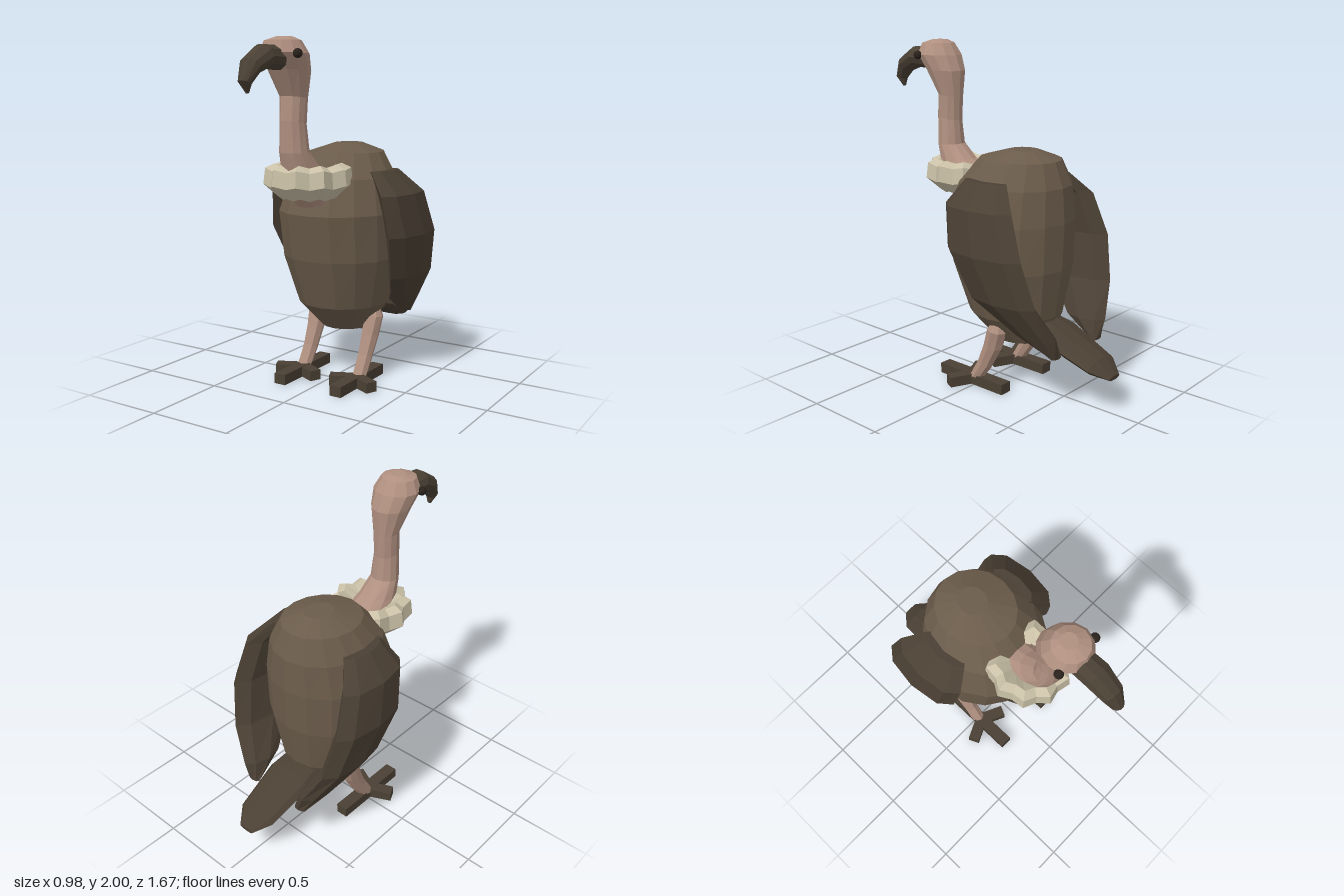
import * as THREE from 'three';

const mat = (name, color) => {
  const m = new THREE.MeshStandardMaterial({ color, flatShading: true });
  m.name = name;
  return m;
};

// Skin of elliptical rings. Each section: [halfWidth, frontZ, frontY, backZ, backY, centreX]
function loft(sections, n) {
  const pos = [], idx = [], last = (sections.length - 1) * n;
  for (const [hx, zf, yf, zb, yb, cx = 0] of sections) {
    for (let j = 0; j < n; j++) {
      const a = (j / n) * Math.PI * 2, s = Math.sin(a) / 2;
      pos.push(cx + hx * Math.cos(a), (yf + yb) / 2 + (yf - yb) * s, (zf + zb) / 2 + (zf - zb) * s);
    }
  }
  for (let i = 0; i < sections.length - 1; i++) {
    for (let j = 0; j < n; j++) {
      const k = (j + 1) % n, a = i * n + j, b = i * n + k;
      idx.push(a, a + n, b, b, a + n, b + n);
    }
  }
  // end caps
  for (let j = 1; j < n - 1; j++) idx.push(0, j, j + 1, last, last + j + 1, last + j);
  const g = new THREE.BufferGeometry();
  g.setAttribute('position', new THREE.Float32BufferAttribute(pos, 3));
  g.setIndex(idx);
  g.computeVertexNormals();
  return g;
}

export function createModel() {
  const group = new THREE.Group();
  group.name = 'vulture';
  const body = mat('brown plumage', 0x6b5c4b);
  const dark = mat('dark feathers', 0x4b4034);
  const horn = mat('horn', 0x4a4034);
  const skin = mat('bare skin', 0xb09080);
  const down = mat('cream down', 0xc9c0a6);
  const black = mat('eye black', 0x2a221c);

  const add = (name, geometry, material, parent = group) => {
    const m = new THREE.Mesh(geometry, material);
    m.name = name;
    parent.add(m);
    return m;
  };

  // Horizontal ring: y, half width, front z, back z, centre x
  const ring = (y, hx, zf, zb, cx = 0) => [hx, zf, y, zb, y, cx];

  add('body', loft([
    ring(0.30, 0.15, -0.02, -0.34),
    ring(0.46, 0.27, 0.14, -0.42),
    ring(0.75, 0.35, 0.24, -0.47),
    ring(1.02, 0.36, 0.285, -0.48),
    ring(1.22, 0.31, 0.21, -0.465),
    ring(1.36, 0.22, 0.08, -0.41),
    ring(1.41, 0.08, -0.10, -0.28),
  ], 16), body);

  add('tail', loft([
    [0.13, -0.28, 0.48, -0.28, 0.37],
    [0.155, -0.47, 0.43, -0.47, 0.315],
    [0.125, -0.75, 0.305, -0.74, 0.225],
    [0.05, -0.838, 0.23, -0.838, 0.205],
  ], 10), dark);

  // Neck and head as one bent tube
  add('neckAndHead', loft([
    [0.11, 0.29, 1.07, 0.10, 1.13],
    [0.13, 0.36, 1.14, 0.10, 1.25],
    [0.105, 0.43, 1.27, 0.21, 1.31],
    [0.085, 0.458, 1.385, 0.30, 1.39],
    [0.072, 0.465, 1.56, 0.313, 1.53],
    [0.077, 0.455, 1.69, 0.307, 1.67],
    [0.115, 0.54, 1.83, 0.30, 1.82],
    [0.135, 0.60, 1.915, 0.335, 1.91],
    [0.10, 0.58, 1.978, 0.38, 1.98],
    [0.045, 0.51, 2.0, 0.42, 2.0],
  ], 12), skin);

  // Hooked beak, lower edge first
  add('beak', loft([
    [0.075, 0.50, 1.82, 0.50, 1.955],
    [0.078, 0.64, 1.83, 0.67, 1.955],
    [0.065, 0.725, 1.80, 0.785, 1.885],
    [0.036, 0.77, 1.75, 0.838, 1.77],
    [0.010, 0.775, 1.715, 0.79, 1.705],
  ], 10), horn);

  // Scalloped ruff: a ring with ten lobes
  const profile = [[0.11, 1.13], [0.16, 1.125], [0.235, 1.195], [0.225, 1.285], [0.175, 1.31], [0.10, 1.26], [0.11, 1.13]];
  const ruff = new THREE.LatheGeometry(profile.map(([r, y]) => new THREE.Vector2(r, y)), 20);
  const p = ruff.attributes.position;
  for (let i = 0; i < p.count; i++) {
    const x = p.getX(i), z = p.getZ(i);
    const lobe = -Math.cos(10 * Math.atan2(x, z));
    const k = 1 + 0.07 * lobe;
    p.setXYZ(i, x * k, p.getY(i) + 0.008 * lobe, z * k);
  }
  ruff.computeVertexNormals();
  add('ruff', ruff, down).position.z = 0.245;

  for (const s of [1, -1]) {
    const side = s > 0 ? 'left' : 'right';

    add(side + 'Eye', new THREE.IcosahedronGeometry(0.026, 1), black).position.set(s * 0.127, 1.91, 0.525);

    add(side + 'Wing', loft([
      ring(0.32, 0.04, -0.56, -0.60, s * 0.19),
      ring(0.43, 0.075, -0.34, -0.61, s * 0.235),
      ring(0.63, 0.085, -0.09, -0.56, s * 0.35),
      ring(0.89, 0.09, 0.03, -0.50, s * 0.40),
      ring(1.13, 0.085, 0.07, -0.41, s * 0.37),
      ring(1.26, 0.06, 0.01, -0.29, s * 0.27),
    ], 8), dark);

    add(side + 'Leg', loft([
      [0.042, 0.05, 0.05, -0.05, 0.05, s * 0.195],
      [0.042, -0.02, 0.17, -0.11, 0.13, s * 0.195],
      [0.05, -0.065, 0.28, -0.185, 0.26, s * 0.195],
      [0.056, -0.10, 0.385, -0.22, 0.37, s * 0.20],
      [0.03, -0.13, 0.43, -0.20, 0.43, s * 0.20],
    ], 8), skin);

    // Foot: one long toe fore and aft, two splayed sideways
    const foot = new THREE.Group();
    foot.name = side + 'Foot';
    foot.position.set(s * 0.193, 0.031, 0);
    group.add(foot);
    add('longToe', new THREE.BoxGeometry(0.075, 0.062, 0.49), horn, foot).position.z = 0.025;
    for (const t of [1, -1]) {
      const toe = add('sideToe', new THREE.BoxGeometry(0.07, 0.06, 0.15), horn, foot);
      toe.position.set(t * 0.074, 0, 0.07);
      toe.rotation.y = t * 1.13;
    }
  }
  return group;
}
